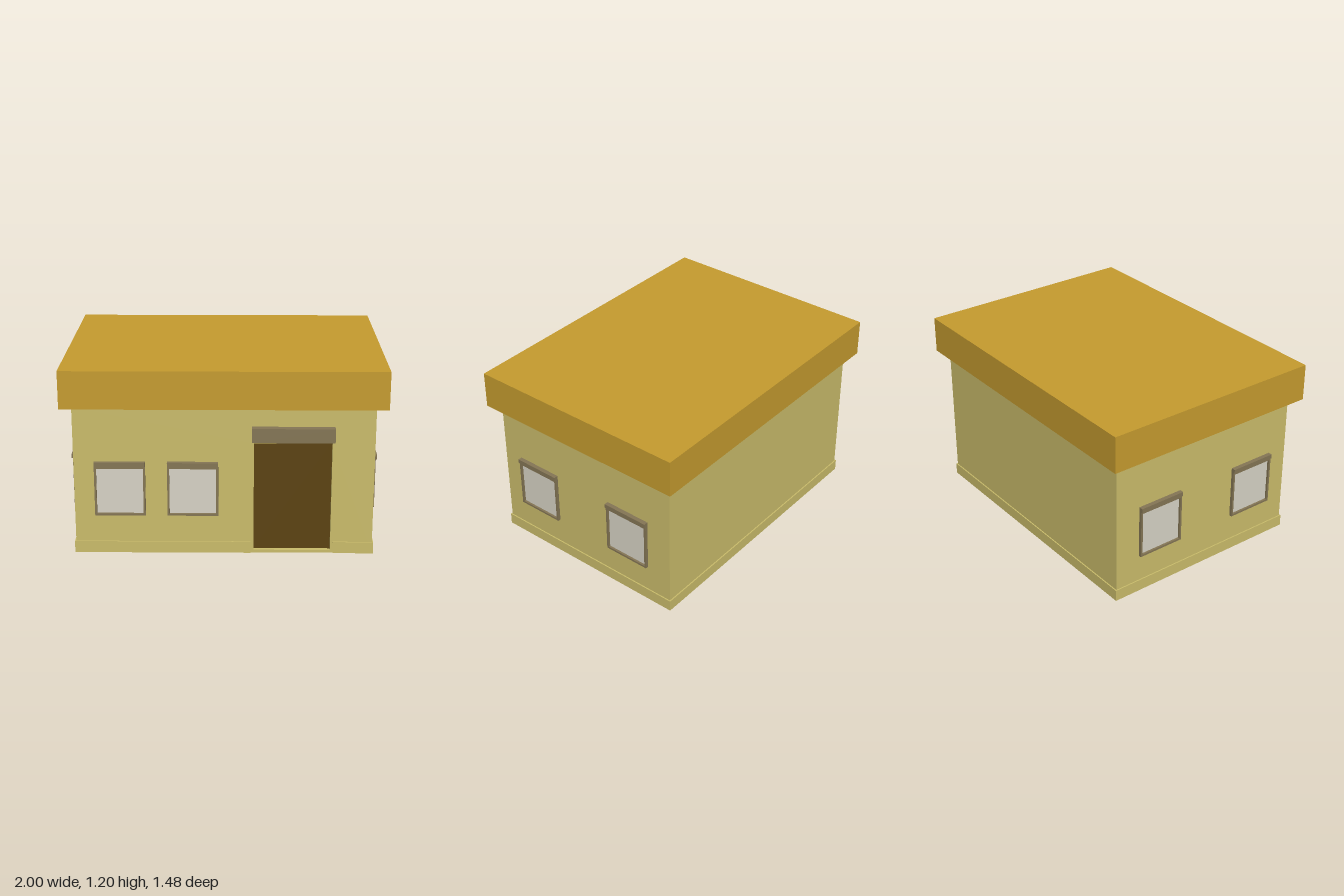
import * as THREE from 'three';

const mat = (color, side = THREE.FrontSide) => new THREE.MeshStandardMaterial({ color, side, flatShading: true });
const wallMat = mat(0xcbbd6b, THREE.DoubleSide);
const roofMat = mat(0xc69c2f, THREE.DoubleSide);
const trimMat = mat(0x857655);
const glassMat = mat(0xd8d4c6);
const doorMat = mat(0x5c430f);

const HX = 0.93, HZ = 0.68, EAVE = 0.96, TOP = 1.2; // wall half sizes and heights
const RX = 1, RZ = 0.742;                           // roof half sizes
const DOOR = { x0: 0.185, x1: 0.667, y0: 0.018, y1: 0.727 };

function add(parent, name, geometry, material, x = 0, y = 0, z = 0) {
  const mesh = new THREE.Mesh(geometry, material);
  mesh.name = name;
  mesh.position.set(x, y, z);
  parent.add(mesh);
  return mesh;
}

function rect(Type, x0, x1, y0, y1) {
  return new Type([[x0, y0], [x1, y0], [x1, y1], [x0, y1]].map(([x, y]) => new THREE.Vector2(x, y)));
}

// Window on the local z = 0 plane, facing +z, with y measured from the ground
function makeWindow(name) {
  const g = new THREE.Group();
  g.name = name;
  const w = 0.158, y0 = 0.255, y1 = 0.606, bar = 0.013;
  const ring = rect(THREE.Shape, -w, w, y0, y1 - 0.028);
  ring.holes.push(rect(THREE.Path, -w + bar, w - bar, y0 + bar, 0.564));
  const frame = new THREE.ExtrudeGeometry(ring, { depth: 0.022, bevelEnabled: false });
  add(g, 'windowFrame', frame, trimMat, 0, 0, -0.002);
  add(g, 'windowLintel', new THREE.BoxGeometry(2 * w, 0.028, 0.028), trimMat, 0, y1 - 0.014, 0.014);
  add(g, 'windowPane', new THREE.PlaneGeometry(2 * (w - bar), 0.564 - y0 - bar), glassMat,
    0, (0.564 + y0 + bar) / 2, 0.006);
  return g;
}

export function createModel() {
  const house = new THREE.Group();
  house.name = 'house';

  // Walls: a hollow shell open at the bottom, with a doorway in the front
  const front = rect(THREE.Shape, -HX, HX, 0, EAVE);
  front.holes.push(rect(THREE.Path, DOOR.x0, DOOR.x1, DOOR.y0, DOOR.y1));
  add(house, 'frontWall', new THREE.ShapeGeometry(front), wallMat, 0, 0, HZ);
  add(house, 'backWall', new THREE.PlaneGeometry(2 * HX, EAVE), wallMat, 0, EAVE / 2, -HZ).rotation.y = Math.PI;
  for (const s of [1, -1]) {
    add(house, s > 0 ? 'leftWall' : 'rightWall', new THREE.PlaneGeometry(2 * HZ, EAVE), wallMat,
      s * HX, EAVE / 2, 0).rotation.y = s * Math.PI / 2;
  }

  // Plinth band around the foot of the walls, broken at the doorway
  const px = HX + 0.008, pz = HZ + 0.008, gap0 = 0.168, gap1 = 0.684;
  const band = new THREE.Shape([
    [gap0, -pz], [-px, -pz], [-px, pz], [px, pz], [px, -pz], [gap1, -pz],
    [gap1, -HZ], [HX, -HZ], [HX, HZ], [-HX, HZ], [-HX, -HZ], [gap0, -HZ],
  ].map(([x, y]) => new THREE.Vector2(x, y)));
  const plinth = new THREE.ExtrudeGeometry(band, { depth: 0.075, bevelEnabled: false });
  add(house, 'plinth', plinth, wallMat).rotation.x = -Math.PI / 2;

  // Flat roof cap, hollow below, closed by a soffit around the walls
  const roof = new THREE.BoxGeometry(2 * RX, TOP - EAVE, 2 * RZ);
  const kept = [];
  for (const face of [0, 1, 2, 4, 5]) kept.push(...Array.from(roof.index.array.slice(face * 6, face * 6 + 6)));
  roof.setIndex(kept);
  roof.clearGroups();
  add(house, 'roofCap', roof, roofMat, 0, (TOP + EAVE) / 2, 0);
  const eaves = rect(THREE.Shape, -RX, RX, -RZ, RZ);
  eaves.holes.push(rect(THREE.Path, -HX, HX, -HZ, HZ));
  add(house, 'soffit', new THREE.ShapeGeometry(eaves), wallMat, 0, EAVE, 0).rotation.x = Math.PI / 2;

  // Recessed door, its reveal and the canopy above
  const dw = DOOR.x1 - DOOR.x0, dh = DOOR.y1 - DOOR.y0;
  const dx = (DOOR.x0 + DOOR.x1) / 2, dy = (DOOR.y0 + DOOR.y1) / 2, recess = 0.03;
  add(house, 'door', new THREE.BoxGeometry(dw, dh, 0.006), doorMat, dx, dy, HZ - recess);
  for (const s of [1, -1]) {
    add(house, 'doorJamb', new THREE.PlaneGeometry(recess, dh), wallMat,
      dx + s * dw / 2, dy, HZ - recess / 2).rotation.y = Math.PI / 2;
    add(house, s > 0 ? 'doorHead' : 'doorSill', new THREE.PlaneGeometry(dw, recess), wallMat,
      dx, dy + s * dh / 2, HZ - recess / 2).rotation.x = Math.PI / 2;
  }
  add(house, 'doorCanopy', new THREE.BoxGeometry(0.51, 0.09, 0.048), trimMat, dx, 0.79, HZ + 0.024);

  // Two windows in the front and two in each side wall
  for (const x of [-0.645, -0.193]) {
    const win = makeWindow('frontWindow');
    win.position.set(x, 0, HZ);
    house.add(win);
  }
  for (const s of [1, -1]) {
    for (const z of [0.386, -0.35]) {
      const win = makeWindow(s > 0 ? 'leftWindow' : 'rightWindow');
      win.position.set(s * HX, 0, z);
      win.rotation.y = s * Math.PI / 2;
      house.add(win);
    }
  }
  return house;
}
